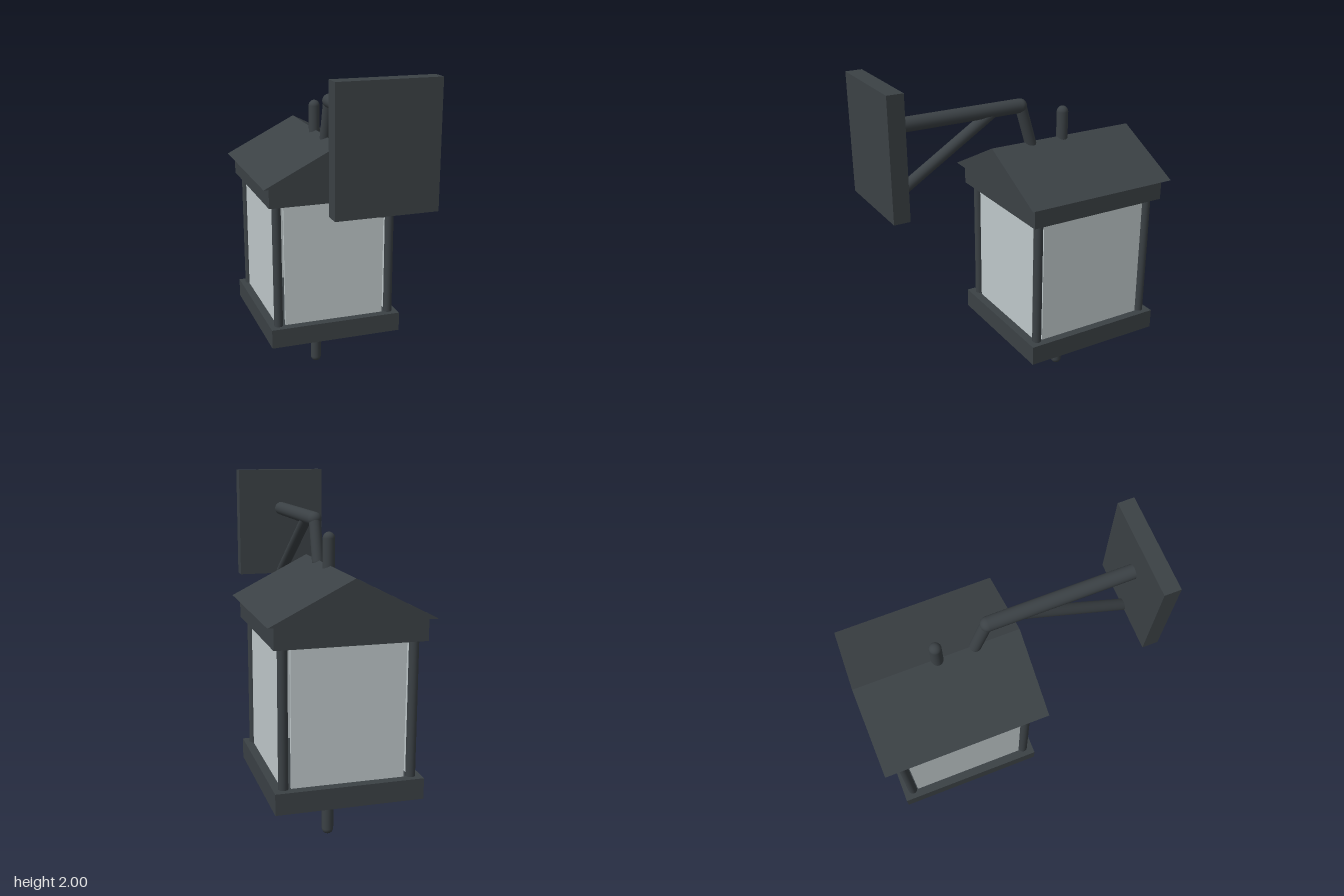
import * as THREE from 'three';

export function createModel() {
  const group = new THREE.Group();
  const metal = new THREE.MeshStandardMaterial({ color: 0x3b4145 });
  metal.name = 'charcoal metal';
  const glass = new THREE.MeshStandardMaterial({ color: 0xbfc8ca });
  glass.name = 'frosted glass';
  const cz = -0.353; // centre of the lantern body

  const add = (name, geometry, material, x = 0, y = 0, z = 0) => {
    const mesh = new THREE.Mesh(geometry, material);
    mesh.name = name;
    mesh.position.set(x, y, z);
    group.add(mesh);
    return mesh;
  };
  const box = (name, w, h, d, x, y, z, material = metal) =>
    add(name, new THREE.BoxGeometry(w, h, d), material, x, y, z);

  // Round-ended bar whose hemispheres are centred on two [y, z] points
  const bar = (name, r, from, to) => {
    const a = new THREE.Vector3(0, ...from);
    const b = new THREE.Vector3(0, ...to);
    const dir = b.clone().sub(a);
    const mesh = add(name, new THREE.CapsuleGeometry(r, dir.length(), 8, 20), metal);
    mesh.position.copy(a).add(b).multiplyScalar(0.5);
    mesh.quaternion.setFromUnitVectors(new THREE.Vector3(0, 1, 0), dir.normalize());
  };

  // Wall plate and bracket
  box('wallPlate', 0.54, 0.66, 0.09, 0, 1.67, 0.77);
  bar('bracketArm', 0.04, [1.757, 0.75], [1.757, -0.07]);
  bar('bracketBrace', 0.032, [1.346, 0.742], [1.742, 0.11]);
  bar('hanger', 0.033, [1.757, -0.075], [1.53, -0.142]);

  // Lantern frame
  box('baseFrame', 0.8, 0.115, 0.85, 0, 0.403, cz);
  box('topFrame', 0.8, 0.12, 0.85, 0, 1.26, cz);

  // Corner posts
  for (const sx of [-1, 1]) {
    for (const sz of [-1, 1]) {
      add('cornerPost', new THREE.CylinderGeometry(0.026, 0.026, 0.76, 20), metal,
        sx * 0.345, 0.83, cz + sz * 0.367);
    }
  }

  // Glass panes between the posts
  for (const s of [-1, 1]) {
    box('endPane', 0.61, 0.75, 0.015, 0, 0.83, cz + s * 0.367, glass);
    box('sidePane', 0.015, 0.75, 0.67, s * 0.345, 0.83, cz, glass);
  }

  // Gabled roof with its ridge running front to back
  const gable = new THREE.Shape();
  gable.moveTo(-0.437, 0);
  gable.lineTo(0.437, 0);
  gable.lineTo(0, 0.22);
  gable.closePath();
  add('gableRoof', new THREE.ExtrudeGeometry(gable, { depth: 0.922, bevelEnabled: false }),
    metal, 0, 1.32, -0.815);

  // Finials above the ridge and below the base
  bar('topFinial', 0.033, [1.5, cz], [1.683, cz]);
  bar('bottomFinial', 0.033, [0.4, cz], [0.038, cz]);

  // Rest the lowest finial tip on the ground
  group.children.forEach((part) => {
    if (part.name === 'bottomFinial') part.position.y -= 0.005;
  });
  return group;
}
